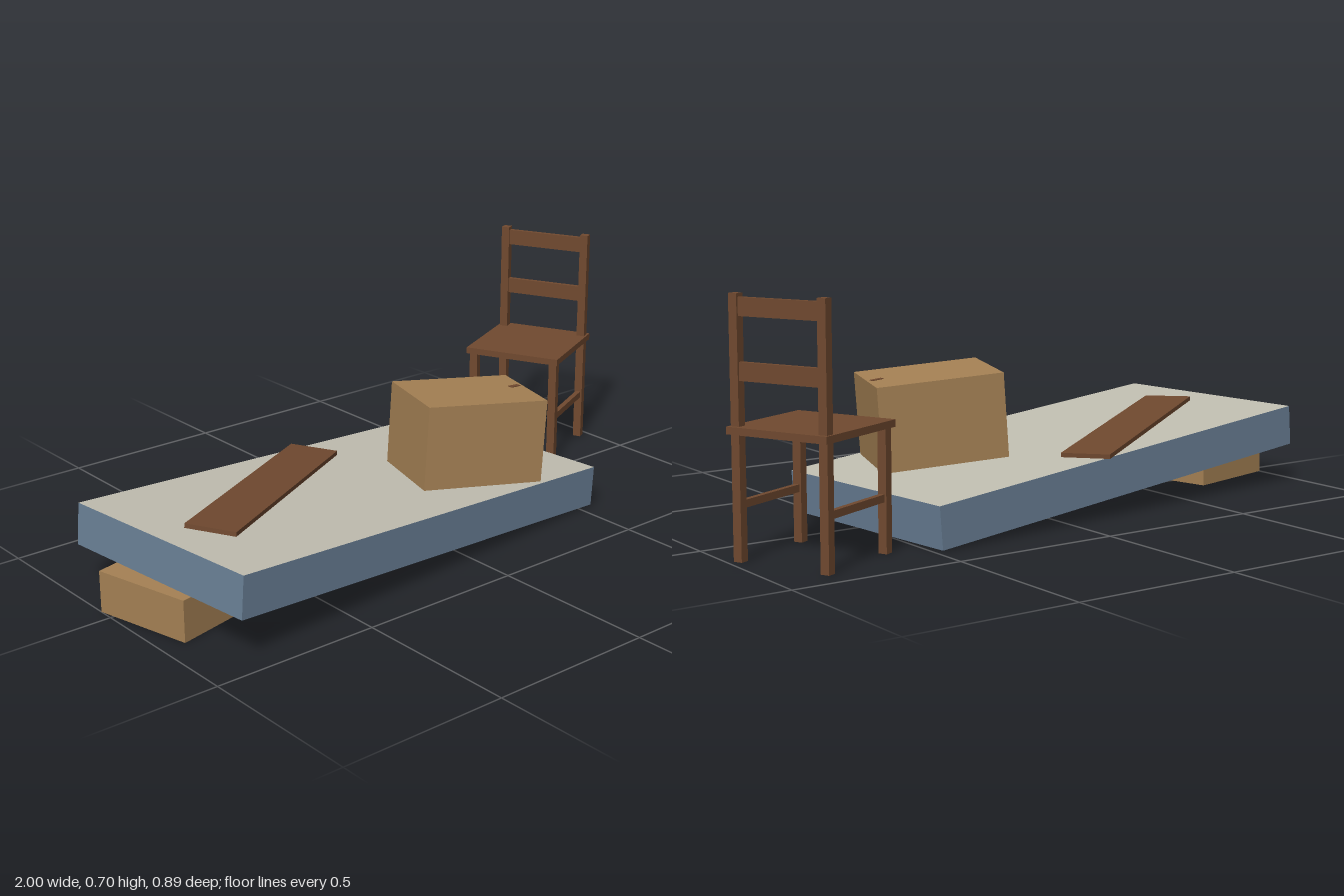
import * as THREE from 'three';

const deg = THREE.MathUtils.degToRad;
const material = (name, color) => {
  const m = new THREE.MeshStandardMaterial({ color });
  m.name = name;
  return m;
};

export function createModel() {
  const wood = material('dark wood', 0x70492f);
  const card = material('tan cardboard', 0xa58154);
  const cover = material('pale cover', 0xc2bfb2);
  const blue = material('slate blue', 0x697f95);

  const box = (parent, name, size, pos, mat, yaw = 0) => {
    const mesh = new THREE.Mesh(new THREE.BoxGeometry(...size), mat);
    mesh.name = name;
    mesh.position.set(...pos);
    mesh.rotation.y = deg(yaw);
    parent.add(mesh);
    return mesh;
  };

  const model = new THREE.Group();
  model.name = 'slopedBedScene';

  // Mattress propped up at one end, origin at the centre of its top
  const bed = new THREE.Group();
  bed.name = 'slopedBed';
  bed.rotation.order = 'YZX';
  bed.rotation.set(0, deg(6), deg(-4.8));
  bed.position.set(-0.1925, 0.185, 0.031);
  model.add(bed);
  box(bed, 'mattress', [1.443, 0.1225, 0.682], [0, -0.0613, 0],
    [blue, blue, cover, cover, blue, blue]);

  // Things lying on the slope
  box(bed, 'plank', [0.792, 0.013, 0.151], [-0.229, 0.0065, -0.115], wood, 25.6);
  const crate = new THREE.Group();
  crate.name = 'crate';
  crate.position.set(0.36, 0, 0.122);
  crate.rotation.y = deg(-23.8);
  bed.add(crate);
  box(crate, 'crateBody', [0.38, 0.252, 0.283], [0, 0.126, 0], card);
  box(crate, 'crateMark', [0.038, 0.002, 0.016], [0.16, 0.253, -0.02], wood, 20);

  // Block holding up the raised end
  box(model, 'supportBlock', [0.32, 0.122, 0.307], [-0.809, 0.061, 0.067], card, 13.2);

  // Chair, its back on the local +x side
  const chair = new THREE.Group();
  chair.name = 'chair';
  chair.position.set(0.7865, 0, -0.234);
  chair.rotation.y = deg(24.7);
  model.add(chair);
  box(chair, 'seat', [0.315, 0.02, 0.315], [0, 0.348, 0], wood);
  for (const side of [-1, 1]) {
    const z = side * 0.138;
    box(chair, 'frontLeg', [0.026, 0.338, 0.026], [-0.132, 0.169, z], wood);
    box(chair, 'backPost', [0.026, 0.702, 0.026], [0.132, 0.351, z], wood);
    box(chair, 'sideStretcher', [0.25, 0.021, 0.016], [0, 0.151, z], wood);
  }
  for (const y of [0.501, 0.668]) {
    box(chair, 'backRail', [0.015, 0.049, 0.26], [0.132, y, 0], wood);
  }

  return model;
}
